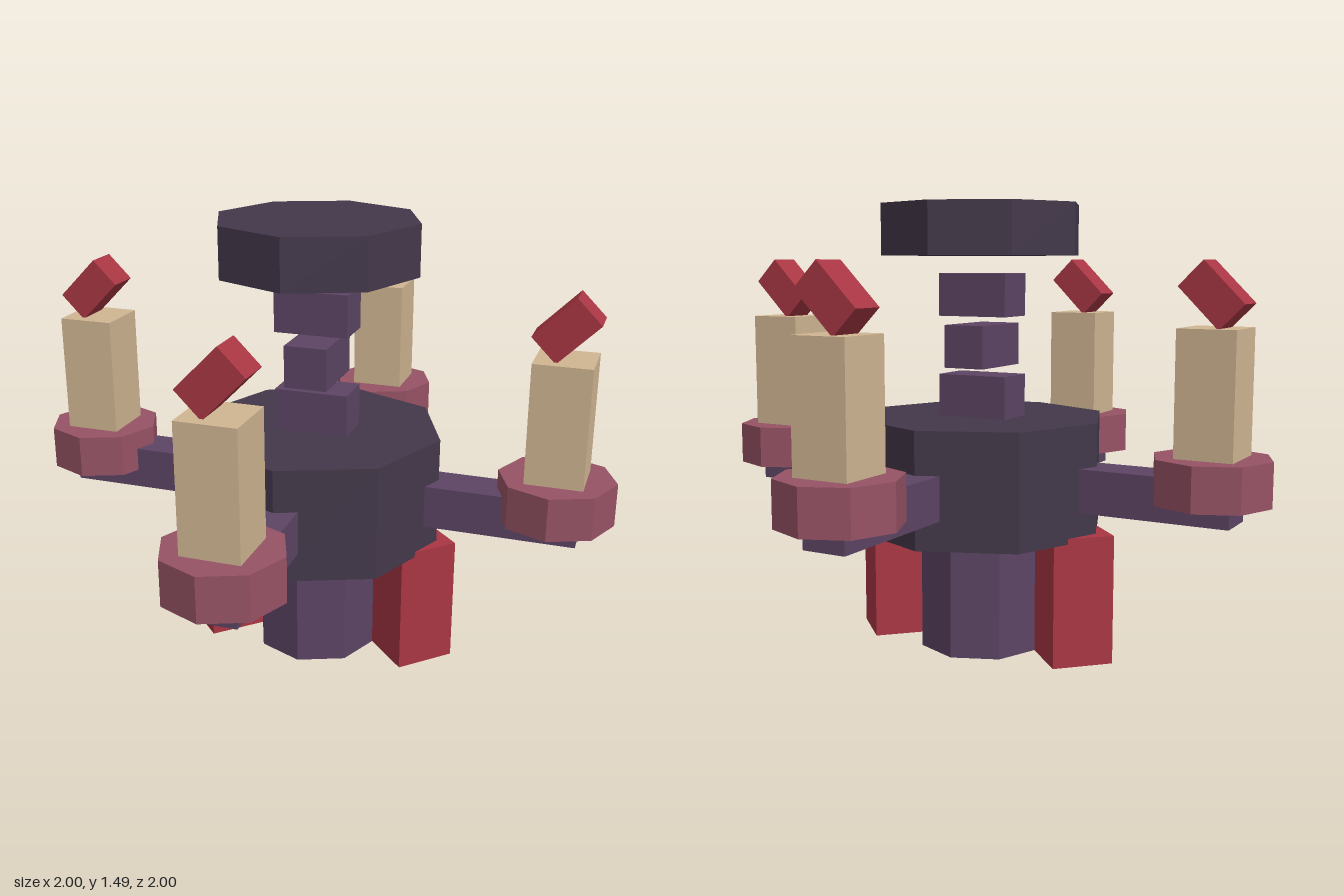
import * as THREE from 'three';

const material = (name, color) => {
  const m = new THREE.MeshStandardMaterial({ color, flatShading: true });
  m.name = name;
  return m;
};

export function createModel() {
  const dark = material('dark plum', 0x43384a);
  const plum = material('plum', 0x5c4463);
  const rose = material('rose', 0x965264);
  const red = material('red', 0xa93643);
  const wax = material('wax', 0xd0b592);

  const model = new THREE.Group();
  model.name = 'chandelier';

  const add = (parent, name, geometry, mat, x, y, z) => {
    const mesh = new THREE.Mesh(geometry, mat);
    mesh.name = name;
    mesh.position.set(x, y, z);
    parent.add(mesh);
    return mesh;
  };
  // Upright prism with corners on the x and z axes, from y0 to y1
  const prism = (parent, name, mat, sides, r, y0, y1, x = 0, z = 0) =>
    add(parent, name, new THREE.CylinderGeometry(r, r, y1 - y0, sides), mat, x, (y0 + y1) / 2, z);
  const box = (parent, name, mat, w, h, d, x, y, z) =>
    add(parent, name, new THREE.BoxGeometry(w, h, d), mat, x, y, z);

  // Central body
  prism(model, 'lowerPost', plum, 8, 0.212, 0, 0.385);
  prism(model, 'drum', dark, 8, 0.425, 0.41, 0.79);
  prism(model, 'ceilingCanopy', dark, 8, 0.34, 1.325, 1.493);

  // Hanging red blocks on both sides
  for (const s of [-1, 1]) prism(model, 'hangingBlock', red, 4, 0.145, 0, 0.428, s * 0.345);

  // Chain links, alternately turned a quarter
  for (let i = 0; i < 3; i++) {
    const link = box(model, 'chainLink', plum, 0.25, 0.141, 0.144, 0, 0.86 + i * 0.168, 0);
    link.rotation.y = (i % 2) * Math.PI / 2;
  }

  // Four arms, each with a drip pan, candle and flame
  for (let i = 0; i < 4; i++) {
    const a = i * Math.PI / 2;
    const dx = Math.round(Math.cos(a)), dz = Math.round(Math.sin(a));
    const branch = new THREE.Group();
    branch.name = 'candleBranch';
    model.add(branch);

    const arm = box(branch, 'arm', plum, 0.59, 0.143, 0.144, dx * 0.595, 0.578, dz * 0.595);
    arm.rotation.y = -a;
    const x = dx * 0.81, z = dz * 0.81;
    prism(branch, 'dripPan', rose, 8, 0.19, 0.57, 0.713, x, z);
    box(branch, 'candle', wax, 0.186, 0.41, 0.186, x, 0.903, z);
    const flame = box(branch, 'flame', red, 0.184, 0.112, 0.112, x, 1.207, z);
    flame.rotation.z = Math.PI / 4;
  }
  return model;
}
